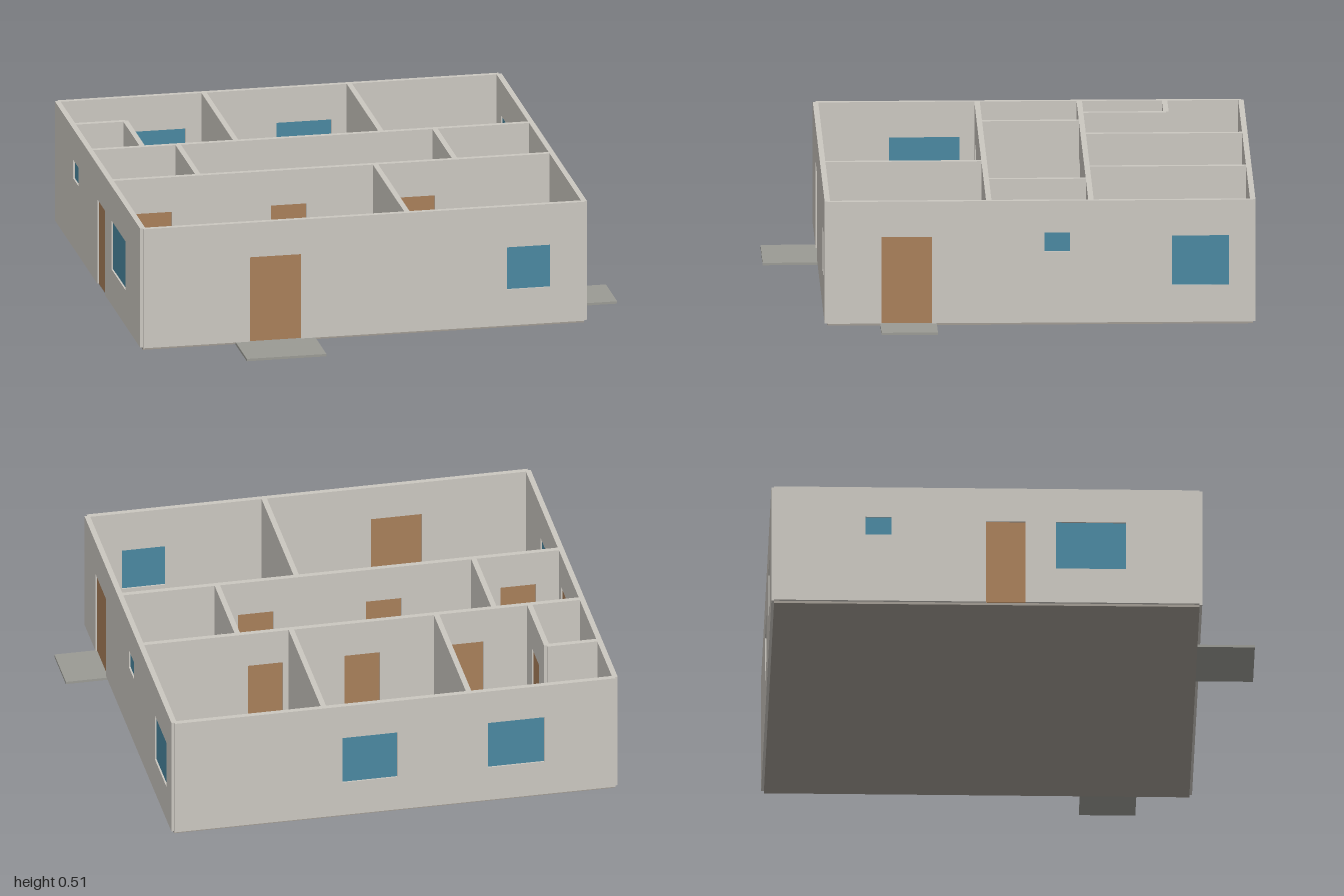
import * as THREE from 'three';

const T = 0.022;        // wall thickness
const BASE = 0.01;      // top of the floor slab
const TOP = 0.512;      // top of the walls
const DOOR_TOP = 0.366;

// Wall centre lines of the outer shell
const X0 = -0.989, X1 = 0.821, Z0 = -0.965, Z1 = 0.745;

const mat = (color) => new THREE.MeshStandardMaterial({ color });

export function createModel() {
  const house = new THREE.Group();
  house.name = 'house';
  const wallMat = mat(0xcbc7c0);
  const floorMat = mat(0xa09a92);
  const porchMat = mat(0x9a9a94);
  const doorMat = mat(0xa87f5a);
  const glassMat = mat(0x4a87a0);

  function add(parent, name, geometry, material) {
    const mesh = new THREE.Mesh(geometry, material);
    mesh.name = name;
    parent.add(mesh);
    return mesh;
  }

  function slab(name, xa, xb, za, zb, material) {
    add(house, name, new THREE.BoxGeometry(xb - xa, BASE, zb - za), material)
      .position.set((xa + xb) / 2, BASE / 2, (za + zb) / 2);
  }

  // A wall along 'x' or 'z' at a fixed coordinate, running from a to b.
  // doors: [from, to]; windows: [from, to, bottom, top]
  function wall(name, axis, at, a, b, doors = [], windows = []) {
    const group = new THREE.Group();
    group.name = name;

    // Outline with a notch in the bottom edge for each door
    const shape = new THREE.Shape();
    shape.moveTo(a, BASE);
    for (const [p, q] of [...doors].sort((m, n) => m[0] - n[0])) {
      shape.lineTo(p, BASE);
      shape.lineTo(p, DOOR_TOP);
      shape.lineTo(q, DOOR_TOP);
      shape.lineTo(q, BASE);
    }
    shape.lineTo(b, BASE);
    shape.lineTo(b, TOP);
    shape.lineTo(a, TOP);
    shape.closePath();
    for (const [p, q, lo, hi] of windows) {
      const hole = new THREE.Path();
      hole.moveTo(p, lo);
      hole.lineTo(p, hi);
      hole.lineTo(q, hi);
      hole.lineTo(q, lo);
      hole.closePath();
      shape.holes.push(hole);
    }
    const geometry = new THREE.ExtrudeGeometry(shape, { depth: T, bevelEnabled: false });
    geometry.translate(0, 0, -T / 2);
    add(group, 'wallPanel', geometry, wallMat);

    // Thin leaves and panes set back in the openings
    const fill = (part, p, q, lo, hi, material) =>
      add(group, part, new THREE.BoxGeometry(q - p, hi - lo, 0.008), material)
        .position.set((p + q) / 2, (lo + hi) / 2, 0);
    for (const [p, q] of doors) fill('door', p, q, BASE, DOOR_TOP, doorMat);
    for (const [p, q, lo, hi] of windows) fill('windowPane', p, q, lo, hi, glassMat);

    if (axis === 'x') {
      group.position.z = at;
    } else {
      group.rotation.y = -Math.PI / 2;
      group.position.x = at;
    }
    house.add(group);
  }

  // Ground slabs
  slab('floor', X0, X1, Z0, Z1, floorMat);
  slab('frontPorch', -0.61, -0.283, Z1, 0.976, porchMat);
  slab('sidePorch', X1, 1, 0.305, 0.532, porchMat);

  // Outer walls
  wall('frontWall', 'x', Z1, X0, X1, [[-0.551, -0.342]], [[0.503, 0.679, 0.162, 0.34]]);
  wall('backWall', 'x', Z0, X0, X1, [],
    [[-0.697, -0.466, 0.16, 0.366], [-0.094, 0.132, 0.16, 0.366]]);
  wall('leftWall', 'z', X1, Z0, Z1, [[0.324, 0.527]],
    [[-0.87, -0.64, 0.162, 0.366], [-0.23, -0.128, 0.303, 0.381]]);
  wall('rightWall', 'z', X0, Z0, Z1, [[-0.113, 0.045]],
    [[-0.597, -0.493, 0.303, 0.381], [0.167, 0.45, 0.16, 0.366]]);

  // Long inner walls on either side of the hall
  const HALL_BACK = -0.315, HALL_FRONT = 0.096;
  wall('hallBackWall', 'x', HALL_BACK, X0, X1,
    [[-0.583, -0.438], [-0.158, -0.013], [0.24, 0.385]]);
  wall('hallFrontWall', 'x', HALL_FRONT, X0, X1,
    [[-0.884, -0.739], [-0.332, -0.187], [0.194, 0.339]]);

  // Cross partitions
  for (const x of [-0.39, 0.206]) wall('bedroomPartition', 'z', x, Z0, HALL_BACK);
  wall('entryPartition', 'z', -0.629, HALL_BACK, HALL_FRONT);
  wall('bathroomPartition', 'z', 0.424, HALL_BACK, HALL_FRONT, [[-0.18, -0.035]]);
  wall('livingPartition', 'z', 0.096, HALL_FRONT, Z1);

  // Small corner room
  wall('cornerRoomBackWall', 'x', -0.658, X0, -0.773);
  wall('cornerRoomSideWall', 'z', -0.773, -0.658, HALL_BACK, [[-0.56, -0.42]]);

  return house;
}
